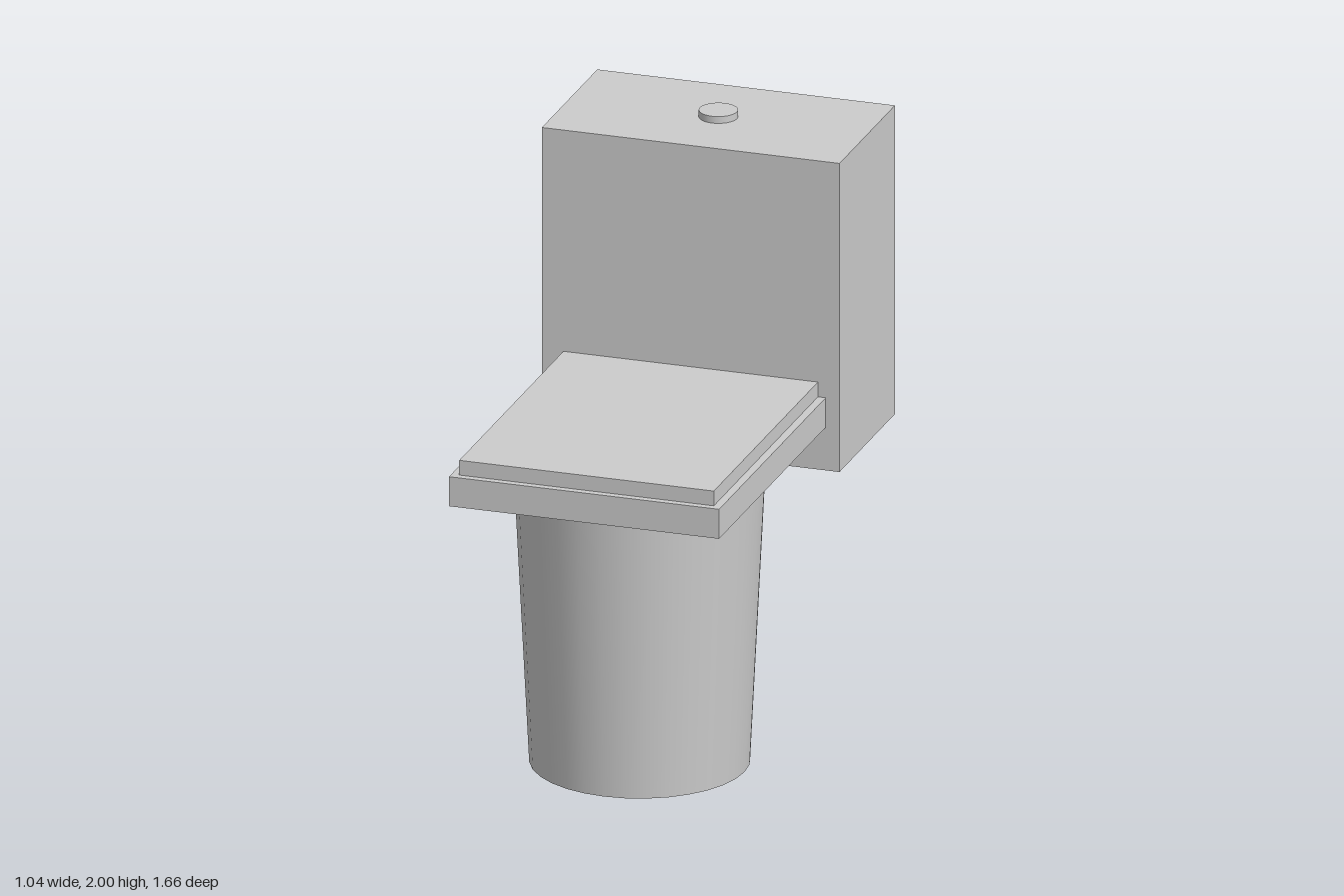
import * as THREE from 'three';

export function createModel() {
  const model = new THREE.Group();
  const ceramic = new THREE.MeshStandardMaterial({ color: 0xcccccc });
  ceramic.name = 'ceramic';

  function add(name, geometry, x, y, z) {
    const mesh = new THREE.Mesh(geometry, ceramic);
    mesh.name = name;
    mesh.position.set(x, y, z);
    model.add(mesh);
  }

  // Tapered round bowl standing on the floor
  const bowlZ = 0.26;
  add('bowl', new THREE.CylinderGeometry(0.417, 0.365, 1.04, 32), 0, 0.52, bowlZ);

  // Seat slab and slightly smaller lid, both centred over the bowl
  add('seat', new THREE.BoxGeometry(0.94, 0.104, 1.14), 0, 1.092, bowlZ);
  add('lid', new THREE.BoxGeometry(0.886, 0.052, 1.09), 0, 1.17, bowlZ);

  // Cistern behind the seat, with the flush button on top
  const tankZ = -0.546;
  add('tank', new THREE.BoxGeometry(1.036, 1.088, 0.568), 0, 1.432, tankZ);
  add('flushButton', new THREE.CylinderGeometry(0.065, 0.065, 0.052, 32), 0, 1.974, tankZ);

  return model;
}
